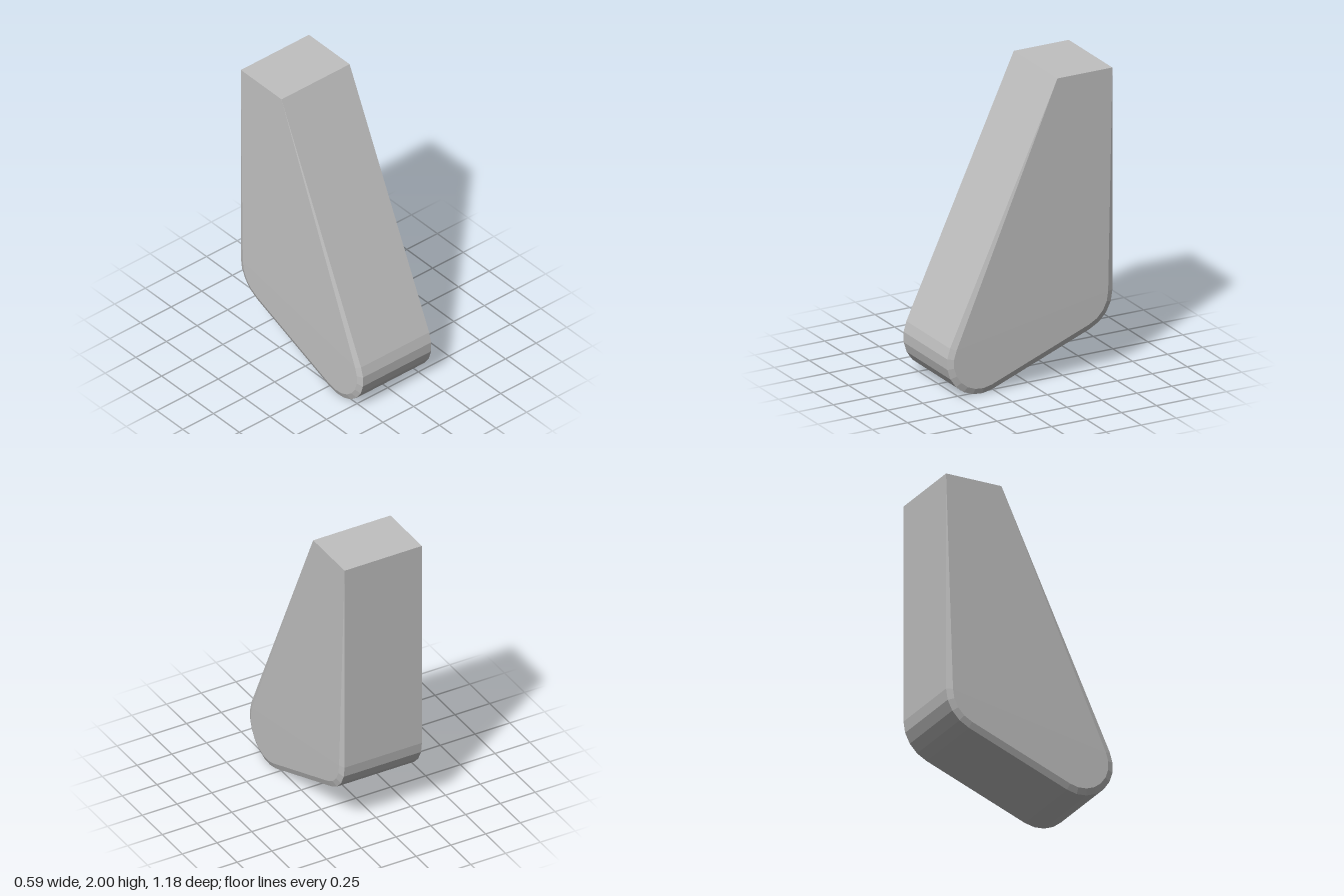
import * as THREE from 'three';

// Side outline from the top front corner, down around the toe and heel, to the top back corner
function outline(x, inset) {
  const pts = [];
  const arc = (z, y, r, from, to, steps) => {
    for (let i = 0; i <= steps; i++) {
      const a = THREE.MathUtils.degToRad(from + (to - from) * i / steps);
      pts.push(new THREE.Vector3(x, y + r * Math.sin(a), z + r * Math.cos(a)));
    }
  };
  const topX = Math.sign(x) * 0.278;
  pts.push(new THREE.Vector3(topX, 2, -0.197));
  arc(0.353, 0.24, 0.24 - inset, 24.7, -110.7, 8);
  arc(-0.34, 0.52, 0.25 - inset, -110.7, -180, 4);
  pts.push(new THREE.Vector3(topX, 2, -0.59));
  return pts;
}

export function createModel() {
  const grey = new THREE.MeshStandardMaterial({ color: 0xc0c0c0 });
  grey.name = 'grey';
  grey.flatShading = true;

  // Cross-sections from right to left; the bevel fades out towards the top
  const rings = [outline(-0.295, 0.04), outline(-0.278, 0), outline(0.278, 0), outline(0.295, 0.04)];
  const n = rings[0].length;
  const tris = [];
  const tri = (a, b, c) => {
    if (new THREE.Triangle(a, b, c).getArea() > 1e-7) tris.push(a, b, c);
  };

  // Rim and bevels
  for (let k = 0; k < 3; k++) {
    const a = rings[k], b = rings[k + 1];
    for (let i = 0; i < n; i++) {
      const j = (i + 1) % n;
      tri(a[i], a[j], b[j]);
      tri(a[i], b[j], b[i]);
    }
  }

  // Side faces: rounded lower part and tapering upper part
  const side = (r, flip) => {
    const face = (i, j, k) => (flip ? tri(r[i], r[k], r[j]) : tri(r[i], r[j], r[k]));
    for (let i = 2; i < n - 2; i++) face(1, i, i + 1);
    face(0, 1, n - 2);
    face(0, n - 2, n - 1);
  };
  side(rings[3], false);
  side(rings[0], true);

  const geometry = new THREE.BufferGeometry().setFromPoints(tris);
  geometry.computeVertexNormals();
  const body = new THREE.Mesh(geometry, grey);
  body.name = 'taperedBody';

  const group = new THREE.Group();
  group.name = 'taperedBlock';
  group.add(body);
  return group;
}
